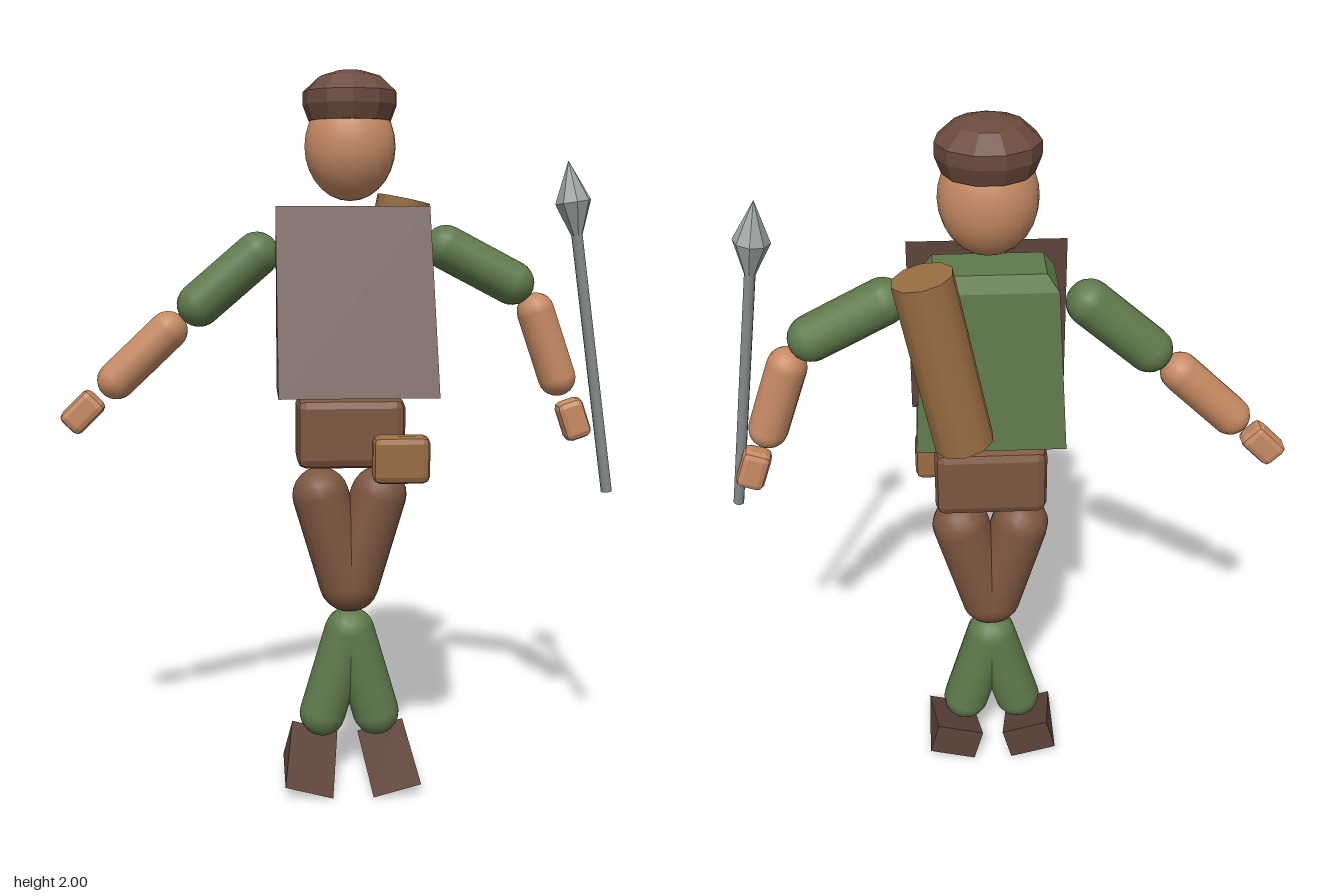
import * as THREE from 'three';
import { RoundedBoxGeometry } from 'three/addons/geometries/RoundedBoxGeometry.js';

const SKIN = 0xc68a63, GREEN = 0x5f7a4c, BROWN = 0x7d5640, DARK = 0x5e453b, LEATHER = 0x9a6d42;
const CX = 0.04, CZ = -0.055; // body axis

export function createModel() {
  const group = new THREE.Group();

  const add = (name, geometry, color, position, flatShading = false) => {
    const material = new THREE.MeshStandardMaterial({ color, flatShading });
    const mesh = new THREE.Mesh(geometry, material);
    mesh.name = name;
    mesh.position.set(...position);
    group.add(mesh);
    return mesh;
  };

  // Rounded limb between two points in the body plane
  const limb = (name, color, radius, [x1, y1], [x2, y2]) => {
    const length = Math.hypot(x2 - x1, y2 - y1);
    const mesh = add(name, new THREE.CapsuleGeometry(radius, length, 6, 16), color,
      [(x1 + x2) / 2, (y1 + y2) / 2, CZ]);
    mesh.rotation.z = Math.atan2(y2 - y1, x2 - x1) - Math.PI / 2;
    return mesh;
  };

  const chamferBox = (name, color, size, bevel, position) =>
    add(name, new RoundedBoxGeometry(...size, 1, bevel), color, position, true);

  // Triangular prism: vertical back, sloping front that ends in an edge at the bottom
  const wedge = (width, height, depth) => {
    const shape = new THREE.Shape();
    shape.moveTo(0, 0);
    shape.lineTo(depth, 0);
    shape.lineTo(0, height);
    shape.closePath();
    return new THREE.ExtrudeGeometry(shape, { depth: width, bevelEnabled: false })
      .rotateY(-Math.PI / 2)
      .translate(width / 2, -height / 2, -depth / 2);
  };

  // Head and cap
  add('head', new THREE.SphereGeometry(1, 20, 14), SKIN, [CX, 1.8, CZ]).scale.set(0.124, 0.145, 0.112);
  const capProfile = [[0, 1.868], [0.113, 1.868], [0.129, 1.91], [0.129, 1.945], [0.085, 1.985], [0.035, 2], [0, 2]]
    .map(([r, y]) => new THREE.Vector2(r, y));
  add('cap', new THREE.LatheGeometry(capProfile, 11), 0x6b4a3e, [CX, 0, CZ - 0.003], true).scale.z = 0.95;

  // Torso: tapered box with a bevelled top; rows run from bottom to top
  const rows = [
    { y: 1.145, w: 0.39, d: 0.2 },
    { y: 1.585, w: 0.34, d: 0.165 },
    { y: 1.628, w: 0.28, d: 0.13 },
  ];
  const torso = new THREE.BoxGeometry(1, 2, 1, 1, 2, 1);
  const p = torso.attributes.position;
  for (let i = 0; i < p.count; i++) {
    const row = rows[Math.round(p.getY(i) + 1)];
    p.setXYZ(i, p.getX(i) * row.w, row.y, p.getZ(i) * row.d);
  }
  add('torso', torso, GREEN, [CX, 0, CZ - 0.008], true);

  // Wedge on the chest
  add('chestWedge', wedge(0.412, 0.485, 0.237), DARK, [CX, 1.398, 0.174], true);

  // Arms
  limb('rightUpperArm', GREEN, 0.061, [-0.215, 1.512], [-0.375, 1.375]);
  limb('rightForearm', SKIN, 0.053, [-0.46, 1.305], [-0.605, 1.168]);
  limb('leftUpperArm', GREEN, 0.061, [0.305, 1.53], [0.492, 1.432]);
  limb('leftForearm', SKIN, 0.053, [0.56, 1.352], [0.624, 1.168]);

  // Hands
  const handSize = [0.077, 0.115, 0.062];
  chamferBox('rightHand', SKIN, handSize, 0.018, [-0.7, 1.08, CZ - 0.003]).rotation.z = -0.79;
  chamferBox('leftHand', SKIN, handSize, 0.018, [0.674, 1.048, CZ - 0.003]).rotation.z = 0.33;

  // Hips and belt pouch
  chamferBox('hips', BROWN, [0.3, 0.195, 0.173], 0.026, [CX, 1.022, CZ - 0.002]);
  chamferBox('pouch', LEATHER, [0.155, 0.13, 0.07], 0.02, [0.167, 0.967, 0.108]);

  // Legs and wedge shoes, mirrored about the body axis
  for (const [side, s] of [['left', 1], ['right', -1]]) {
    limb(`${side}Thigh`, BROWN, 0.08, [CX + s * 0.082, 0.838], [CX + s * 0.006, 0.58]);
    limb(`${side}Shin`, GREEN, 0.067, [CX + s * 0.077, 0.195], [CX + s * 0.005, 0.44]);
    add(`${side}Shoe`, wedge(0.138, 0.105, 0.245), DARK, [CX + s * 0.11, 0.073, -0.008], true)
      .rotation.z = s * 0.26;
  }

  // Leaning tube on the back
  add('quiver', new THREE.CylinderGeometry(0.078, 0.078, 0.47, 10), LEATHER, [0.158, 1.434, -0.208])
    .rotation.z = -0.2;

  // Spear: shaft and pointed head on one leaning axis
  const spear = new THREE.Group();
  spear.name = 'spear';
  spear.position.set(0.747, 0.86, 0.055);
  spear.rotation.z = Math.atan2(0.132, 0.9);
  const shaft = add('spearShaft', new THREE.CylinderGeometry(0.015, 0.015, 0.74, 10), 0x858a8a, [0, 0.37, 0]);
  const tipProfile = [[0, 0.71], [0.015, 0.71], [0.049, 0.8], [0, 0.91]].map(([r, y]) => new THREE.Vector2(r, y));
  const tip = add('spearHead', new THREE.LatheGeometry(tipProfile, 8), 0x9da3a3, [0, 0, 0], true);
  spear.add(shaft, tip);
  group.add(spear);

  return group;
}
